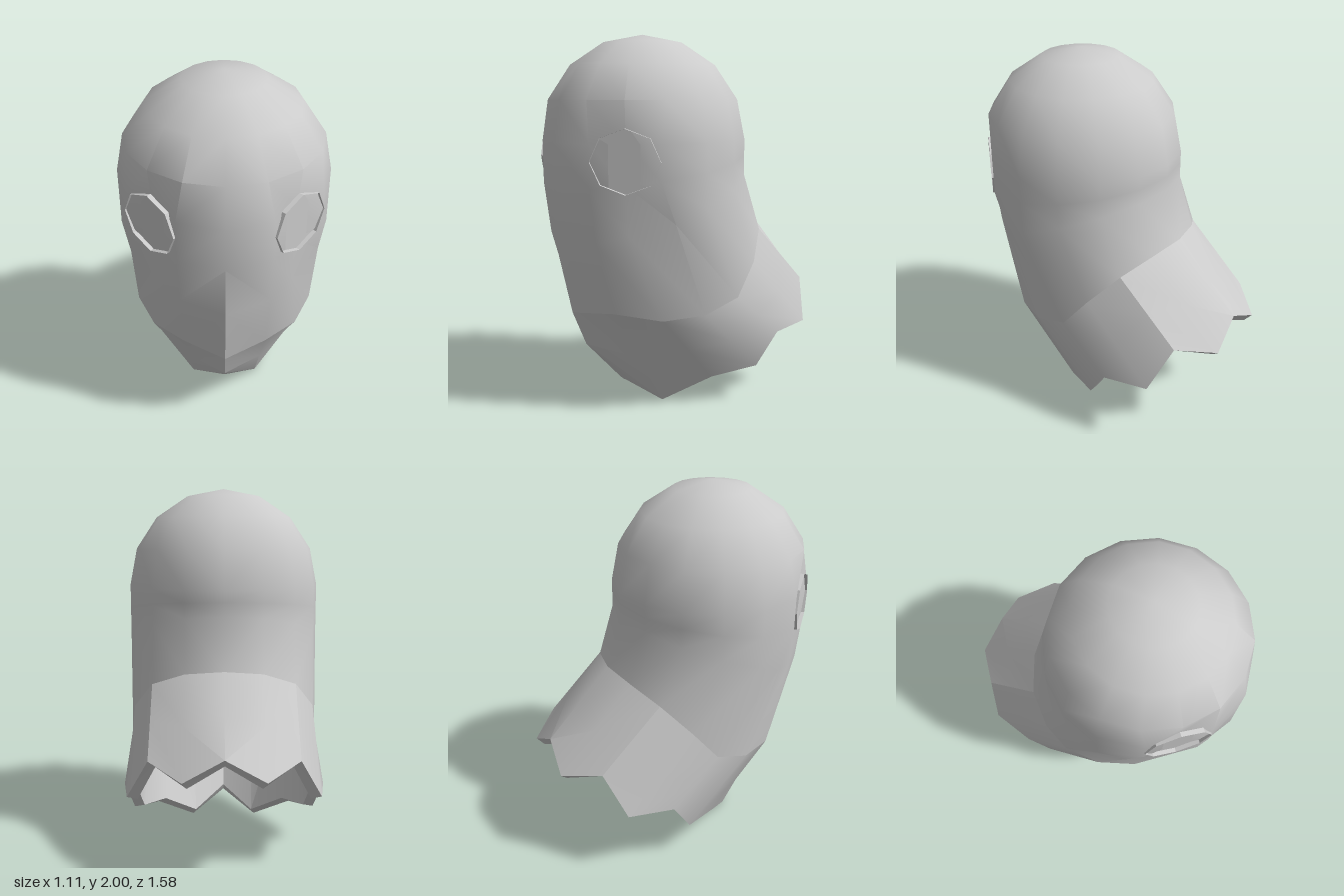
import * as THREE from 'three';
import { toCreasedNormals } from 'three/addons/utils/BufferGeometryUtils.js';

const N = 16, R = 0.555, CY = 1.445, CZ = 0.235;
const V = (x, y, z) => new THREE.Vector3(x, y, z);

// A ring of N points, starting at the front and turning towards +x
const ring = (f) => Array.from({ length: N }, (_, k) => {
  const a = (k / N) * Math.PI * 2;
  return f(Math.sin(a), Math.cos(a));
});
// A ring from its +x half (front to back), mirrored to -x
const mirrored = (half) => Array.from({ length: N }, (_, k) => {
  const [x, y, z] = half[k <= 8 ? k : N - k];
  return V(k <= 8 ? x : -x, y, z);
});
const blend = (a, b, t) => a.map((p, k) => p.clone().lerp(b[k], t));
const centre = (r) => r.reduce((s, p) => s.add(p), V(0, 0, 0)).divideScalar(N);
const shrink = (r, s) => { const c = centre(r); return r.map((p) => c.clone().lerp(p, s)); };
// Move a ring inwards by d, square to the given axis
const inset = (r, axis, d) => {
  const c = centre(r);
  return r.map((p) => p.clone().sub(p.clone().sub(c).projectOnPlane(axis).setLength(d)));
};
// Set x and z of the points either side of the front on both halves
const flatten = (r, points) => points.forEach(([x, z], i) => {
  r[i + 1].set(x, r[i + 1].y, z);
  r[N - i - 1].set(-x, r[N - i - 1].y, z);
});

// Skin neighbouring rings, leaving out collapsed triangles
function loft(name, rings, crease, material) {
  const pos = [];
  const tri = (a, b, c) => {
    if (a.distanceTo(b) < 1e-5 || b.distanceTo(c) < 1e-5 || a.distanceTo(c) < 1e-5) return;
    pos.push(...a, ...b, ...c);
  };
  for (let i = 0; i < rings.length - 1; i++) {
    for (let k = 0; k < N; k++) {
      const n = (k + 1) % N;
      const a = rings[i][k], b = rings[i + 1][k], c = rings[i + 1][n], d = rings[i][n];
      // Mirror the diagonals so both halves match
      if (k < N / 2) {
        tri(a, b, c);
        tri(a, c, d);
      } else {
        tri(a, b, d);
        tri(b, c, d);
      }
    }
  }
  const g = new THREE.BufferGeometry();
  g.setAttribute('position', new THREE.Float32BufferAttribute(pos, 3));
  const mesh = new THREE.Mesh(toCreasedNormals(g, crease), material);
  mesh.name = name;
  return mesh;
}

export function createModel() {
  const group = new THREE.Group();
  const grey = new THREE.MeshStandardMaterial({ color: 0xcccccc });
  const thin = new THREE.MeshStandardMaterial({ color: 0xcccccc, side: THREE.DoubleSide });

  // Domed head
  const dome = [];
  for (let i = 0; i <= 4; i++) {
    const t = (i / 4) * Math.PI / 2, r = R * Math.sin(t);
    dome.push(ring((s, c) => V(r * s, CY + R * Math.cos(t), CZ + r * c)));
  }
  const brow = dome[4];

  // Sheet sweeping back to a ragged hem
  const chest = ring((s, c) => V(R * s, 1.12 - 0.19 * c, CZ + R * c));
  const cheek = blend(brow, chest, 0.45);
  const hip = mirrored([
    [0, 0.54, 0.70], [0.22, 0.56, 0.58], [0.40, 0.53, 0.40], [0.50, 0.55, 0.20], [0.53, 0.62, 0],
    [0.50, 0.79, -0.14], [0.39, 0.94, -0.28], [0.21, 1.01, -0.37], [0, 1.03, -0.41],
  ]);
  const hem = mirrored([
    [0, 0.11, 0.40], [0.19, 0, 0.25], [0.39, 0.15, 0.06], [0.51, 0.20, -0.16], [0.55, 0.38, -0.28],
    [0.51, 0.39, -0.53], [0.39, 0.61, -0.62], [0.21, 0.55, -0.79], [0, 0.66, -0.77],
  ]);
  const skirt = blend(hip, hem, 0.5);
  skirt[0].set(0, 0.35, 0.62);

  // Flat areas behind the eyes, running down into a keel at the front
  for (const r of [brow, cheek]) flatten(r, [[0.235, 0.725], [0.348, 0.583], [0.49, 0.475]]);
  flatten(chest, [[0.23, 0.69], [0.345, 0.57], [0.497, 0.39]]);

  // Hem thickness, inner wall and ceiling
  const hemInside = inset(hem, V(0, -0.7, -0.7).normalize(), 0.06);
  const ceiling = shrink(hip, 0.86);
  group.add(
    loft('head', [...dome, cheek, chest, hip], 0.75, grey),
    loft('tail', [hip, skirt, hem], 0.5, grey),
    loft('hemEdge', [hem, hemInside], 0.3, grey),
    loft('lining', [hemInside, ceiling, shrink(ceiling, 0)], 0.5, grey),
  );

  // Sunken octagonal eyes
  for (const side of [1, -1]) {
    const eye = new THREE.Group();
    eye.name = side > 0 ? 'leftEye' : 'rightEye';
    const floor = new THREE.Mesh(new THREE.CircleGeometry(0.165, 8), grey);
    floor.name = 'eyeFloor';
    const wall = new THREE.CylinderGeometry(0.165, 0.165, 0.025, 8, 1, true).rotateX(Math.PI / 2);
    const rim = new THREE.Mesh(toCreasedNormals(wall, 0.5), thin);
    rim.name = 'eyeRim';
    rim.position.z = 0.01;
    eye.add(floor, rim);
    eye.scale.set(1.08, 0.98, 1);
    eye.rotation.y = side * Math.PI / 4;
    eye.position.set(side * 0.355, 1.36, CZ + 0.355);
    group.add(eye);
  }
  return group;
}
